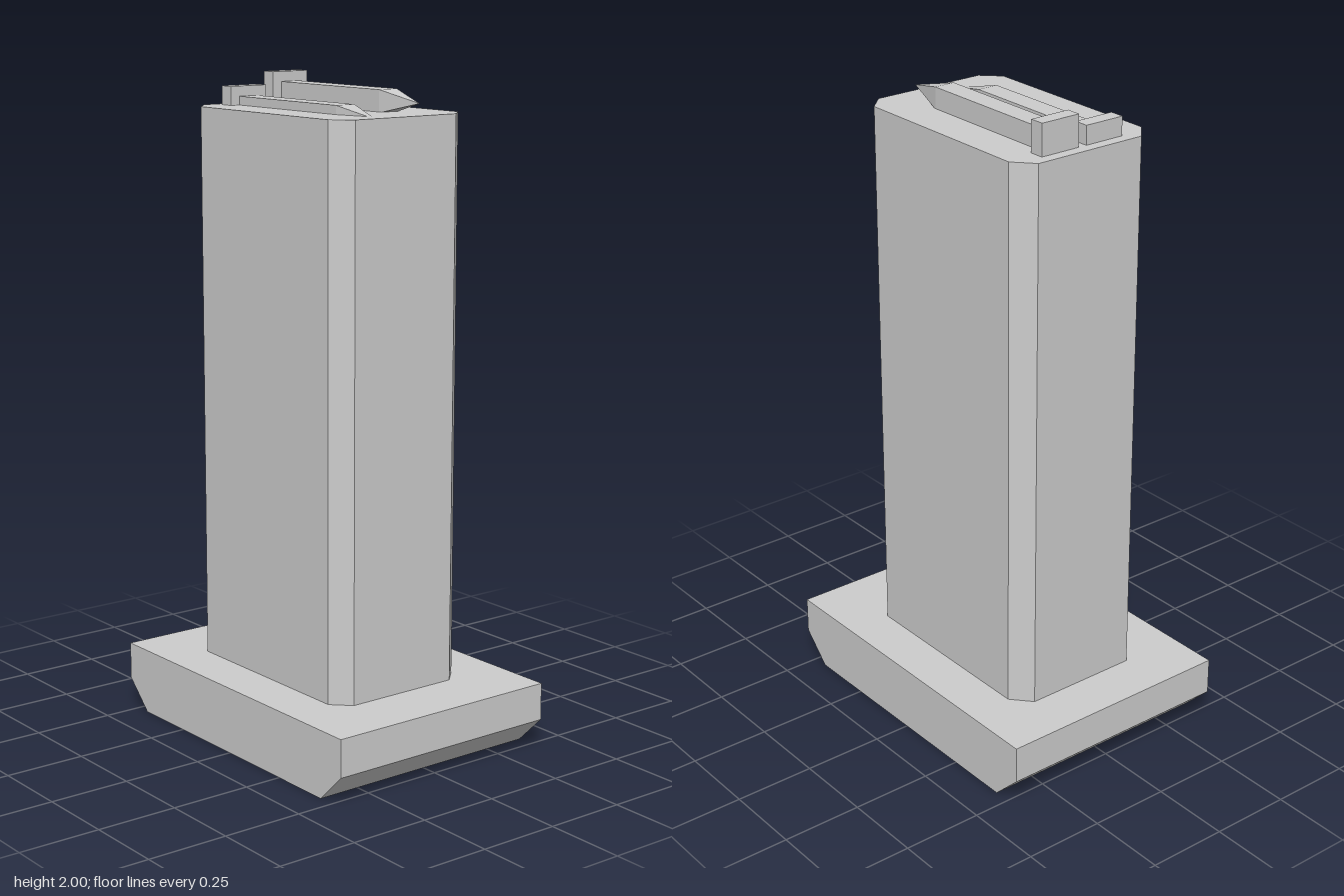
import * as THREE from 'three';

export function createModel() {
  const model = new THREE.Group();
  const grey = new THREE.MeshStandardMaterial({ color: 0xcccccc, flatShading: true });
  grey.name = 'plain grey';

  const add = (parent, name, geometry, x = 0, y = 0, z = 0) => {
    const mesh = new THREE.Mesh(geometry, grey);
    mesh.name = name;
    mesh.position.set(x, y, z);
    parent.add(mesh);
  };
  const extrude = (points, depth) => new THREE.ExtrudeGeometry(
    new THREE.Shape(points.map(([x, y]) => new THREE.Vector2(x, y))),
    { depth, bevelEnabled: false });

  // Floor plate with sloped lower ends
  add(model, 'basePlate', extrude([
    [-0.45, 0], [0.45, 0], [0.542, 0.09], [0.542, 0.205], [-0.542, 0.205], [-0.542, 0.09],
  ], 0.768), 0, 0, -0.385);

  // Upright body with bevelled corners
  const body = extrude([
    [-0.323, -0.238], [0.295, -0.238], [0.348, -0.184], [0.348, 0.184],
    [0.295, 0.238], [-0.323, 0.238], [-0.383, 0.184], [-0.383, -0.184],
  ], 1.703);
  body.rotateX(-Math.PI / 2);
  add(model, 'body', body, 0, 0.203, -0.002);

  // Two square-sided rounds, the front one sunk deeper into the body
  const side = 0.067, shoulder = 0.168, tip = 0.31;
  const nose = new THREE.ConeGeometry(side / Math.SQRT2, tip - shoulder, 4);
  nose.rotateY(Math.PI / 4).rotateZ(-Math.PI / 2);
  for (const [name, y, z] of [['backRound', 1.937, -0.081], ['frontRound', 1.899, 0.076]]) {
    const round = new THREE.Group();
    round.name = name;
    round.position.set(0, y, z);
    add(round, 'rim', new THREE.BoxGeometry(0.046, 0.128, 0.13), -0.325);
    add(round, 'casing', new THREE.BoxGeometry(shoulder + 0.303, side, side), (shoulder - 0.303) / 2);
    add(round, 'nose', nose, (shoulder + tip) / 2);
    model.add(round);
  }
  return model;
}
